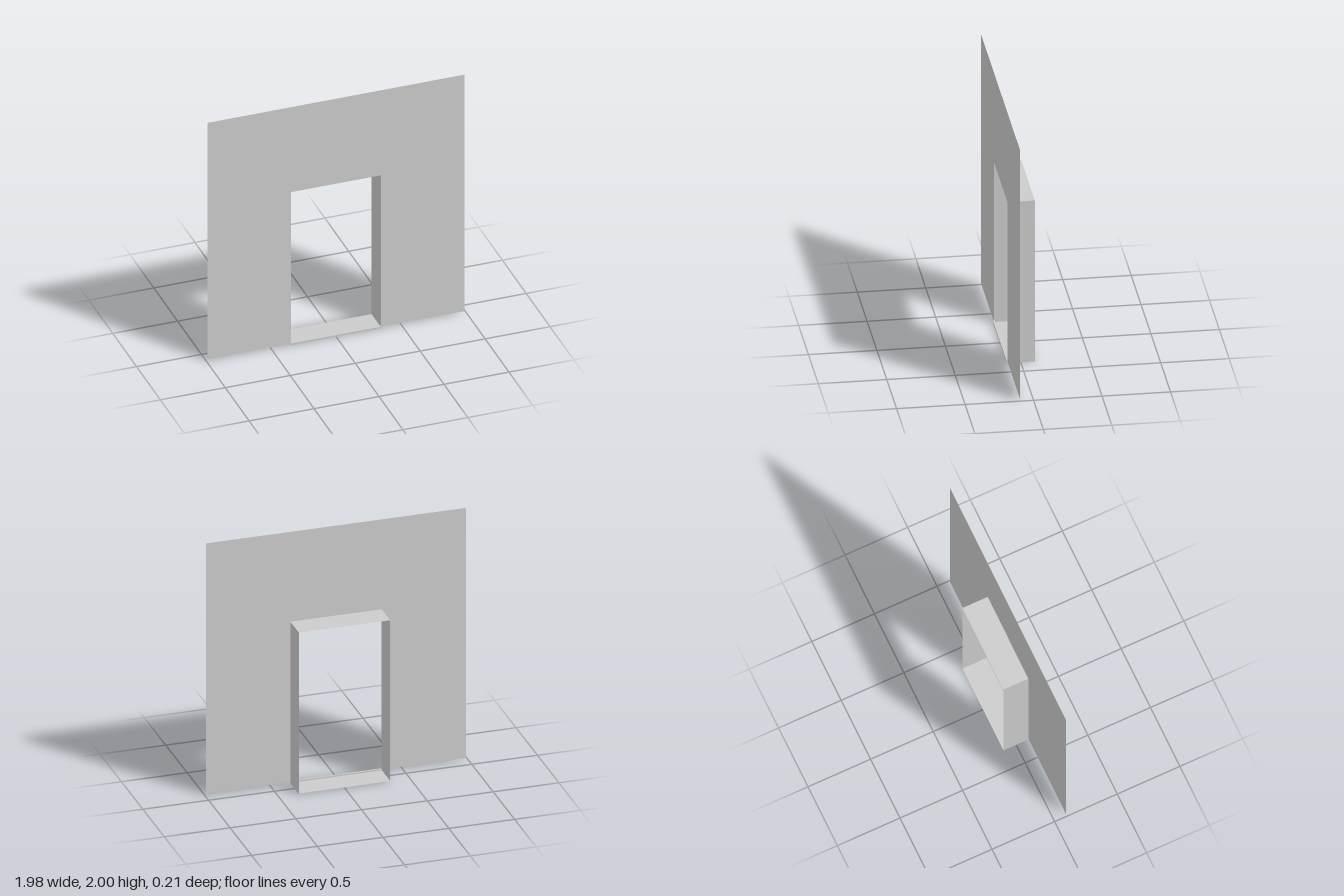
import * as THREE from 'three';

export function createModel() {
  const model = new THREE.Group();
  const mat = new THREE.MeshStandardMaterial({ color: 0xcccccc, side: THREE.DoubleSide, flatShading: true });
  const halfW = 0.99, top = 2, base = 0.01;
  const doorX = 0.347, doorTop = 1.285, front = 0.097, back = -0.103;
  const depth = front - back, midZ = (front + back) / 2;

  const add = (name, geometry, x, y, z) => {
    const mesh = new THREE.Mesh(geometry, mat);
    mesh.name = name;
    mesh.position.set(x, y, z);
    model.add(mesh);
  };

  // Thin wall sheet with a doorway open at the bottom
  const outline = [
    [-halfW, base], [-doorX, base], [-doorX, doorTop], [doorX, doorTop],
    [doorX, base], [halfW, base], [halfW, top], [-halfW, top],
  ].map(([x, y]) => new THREE.Vector2(x, y));
  add('wall', new THREE.ShapeGeometry(new THREE.Shape(outline)), 0, 0, front);

  // Jambs on both sides of the opening
  for (const [name, side] of [['leftJamb', 1], ['rightJamb', -1]]) {
    const jamb = new THREE.PlaneGeometry(depth, doorTop).rotateY(-side * Math.PI / 2);
    add(name, jamb, side * doorX, doorTop / 2, midZ);
  }

  // Underside of the lintel and the floor of the opening
  add('lintel', new THREE.PlaneGeometry(doorX * 2, depth).rotateX(Math.PI / 2), 0, doorTop, midZ);
  add('floor', new THREE.PlaneGeometry(doorX * 2, depth).rotateX(-Math.PI / 2), 0, 0.005, midZ);

  // Low threshold strip along the front edge
  add('threshold', new THREE.BoxGeometry(doorX * 2, 0.016, 0.013), 0, 0.008, 0.0965);
  return model;
}
